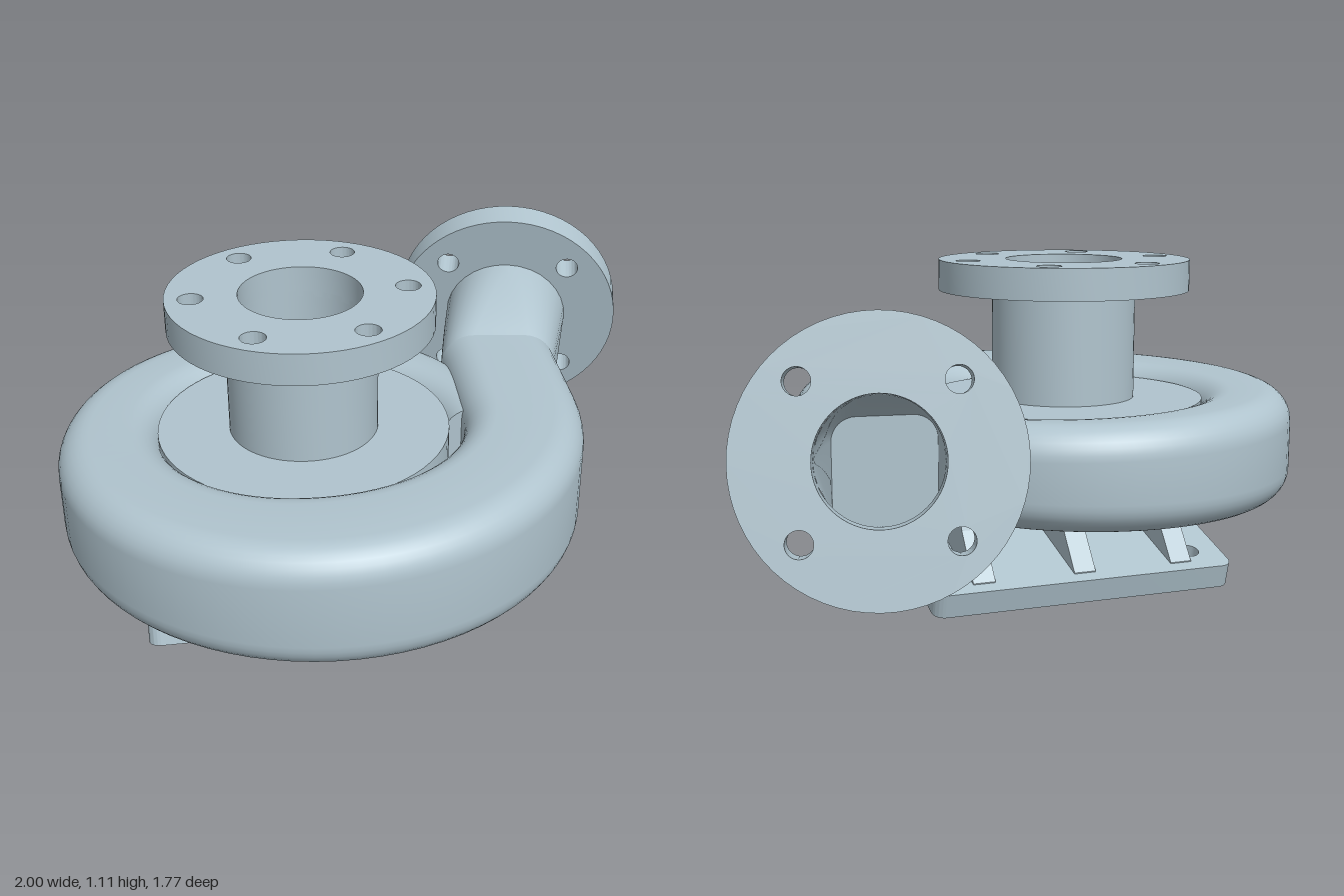
import * as THREE from 'three';
import { toCreasedNormals } from 'three/addons/utils/BufferGeometryUtils.js';

const V = (x, y, z) => new THREE.Vector3(x, y, z);
const CX = -0.23, CY = 0.515, CZ = 0.05; // volute centre

export function createModel() {
  const model = new THREE.Group();
  const metal = new THREE.MeshStandardMaterial({ color: 0xb0c4ce });
  metal.name = 'blue grey metal';

  const add = (name, geometry) => {
    const mesh = new THREE.Mesh(geometry, metal);
    mesh.name = name;
    model.add(mesh);
    return mesh;
  };

  const hole = (x, y, r) => new THREE.Path().absarc(x, y, r, 0, Math.PI * 2, true);

  // Ring with bolt holes, centred on its own thickness, axis along z
  function flangeGeometry(radius, bore, thickness, count, boltCircle, boltRadius, turn) {
    const shape = new THREE.Shape().absarc(0, 0, radius, 0, Math.PI * 2, false);
    shape.holes.push(hole(0, 0, bore));
    for (let i = 0; i < count; i++) {
      const a = turn + (i / count) * Math.PI * 2;
      shape.holes.push(hole(boltCircle * Math.cos(a), boltCircle * Math.sin(a), boltRadius));
    }
    const g = new THREE.ExtrudeGeometry(shape, { depth: thickness, bevelEnabled: false, curveSegments: 32 });
    g.translate(0, 0, -thickness / 2);
    return toCreasedNormals(g, 0.6);
  }

  // Rounded rectangle ring: c centre, u and v axes, half sizes and corner radius
  const STEPS = 8;
  function ring({ c, u, v, hw, hh, cr }) {
    const points = [];
    for (let q = 0; q < 4; q++) {
      const sx = q === 0 || q === 3 ? 1 : -1, sy = q < 2 ? 1 : -1;
      for (let k = 0; k <= STEPS; k++) {
        const a = (q + k / STEPS) * Math.PI / 2;
        points.push(c.clone()
          .addScaledVector(u, sx * (hw - cr) + cr * Math.cos(a))
          .addScaledVector(v, sy * (hh - cr) + cr * Math.sin(a)));
      }
    }
    return points;
  }

  // Skin over consecutive sections, optionally capped, or turned inside out
  function loft(sections, { capStart = false, capEnd = false, inward = false } = {}) {
    const pos = [], index = [], n = 4 * (STEPS + 1);
    const tri = (a, b, c) => (inward ? index.push(a, c, b) : index.push(a, b, c));
    sections.forEach(s => ring(s).forEach(p => pos.push(p.x, p.y, p.z)));
    for (let i = 0; i < sections.length - 1; i++) {
      for (let j = 0; j < n; j++) {
        const a = i * n + j, b = i * n + (j + 1) % n;
        tri(a, b, a + n);
        tri(b, b + n, a + n);
      }
    }
    const last = (sections.length - 1) * n;
    for (let j = 1; j < n - 1; j++) {
      if (capStart) tri(0, j + 1, j);
      if (capEnd) tri(last, last + j, last + j + 1);
    }
    const g = new THREE.BufferGeometry();
    g.setAttribute('position', new THREE.Float32BufferAttribute(pos, 3));
    g.setIndex(index);
    return toCreasedNormals(g, 0.6);
  }

  // Spiral casing, widening once around the centre
  const up = V(0, 1, 0);
  const spiral = [];
  const TURNS = 80;
  for (let i = 0; i <= TURNS; i++) {
    const t = i / TURNS, a = t * Math.PI * 2;
    const outer = 0.645 + 0.247 * t;
    const inner = 0.45 + 0.06 * THREE.MathUtils.smoothstep(t, 0.72, 1);
    const mid = (outer + inner) / 2, hw = (outer - inner) / 2;
    spiral.push({
      c: V(CX + mid * Math.cos(a), CY, CZ - mid * Math.sin(a)),
      u: V(-Math.cos(a), 0, Math.sin(a)), v: up,
      hw, hh: 0.15 + 0.065 * t, cr: Math.min(0.1, hw * 0.95),
    });
  }
  // Straight run leaving the spiral
  const tilt = 0.14;
  const throat = {
    c: V(0.483, CY + 0.003, -0.32), u: V(-Math.cos(tilt), 0, -Math.sin(tilt)), v: up,
    hw: 0.195, hh: 0.218, cr: 0.11,
  };
  const end = spiral[TURNS];
  for (let i = 1; i <= 4; i++) {
    const t = i / 4, mix = (k) => THREE.MathUtils.lerp(end[k], throat[k], t);
    spiral.push({
      c: end.c.clone().lerp(throat.c, t), u: end.u.clone().lerp(throat.u, t).normalize(), v: up,
      hw: mix('hw'), hh: mix('hh'), cr: mix('cr'),
    });
  }
  add('voluteCasing', loft(spiral, { capStart: true }));

  // Discharge duct, changing from the casing section to a round pipe
  const axis = V(0.25, 0.185, -0.95).normalize();
  const flangeCentre = V(0.605, 0.655, -0.72);
  const FT = 0.105;
  const side = V(axis.z, 0, -axis.x).normalize();
  const rise = axis.clone().cross(side);
  const mouth = flangeCentre.clone().addScaledVector(axis, -FT / 2);
  const path = new THREE.QuadraticBezierCurve3(throat.c, V(0.535, 0.60, -0.49), mouth);
  const ductSections = (wall) => Array.from({ length: 13 }, (_, i) => {
    const t = i / 12, mix = (a, b) => THREE.MathUtils.lerp(a, b, t);
    const u = throat.u.clone().lerp(side, t).normalize();
    const v = up.clone().lerp(rise, t).normalize();
    return {
      c: path.getPoint(t), u, v,
      hw: mix(throat.hw, 0.215) - wall, hh: mix(throat.hh, 0.215) - wall,
      cr: mix(throat.cr, 0.215) - wall,
    };
  });
  add('dischargeDuct', loft(ductSections(0)));
  add('dischargeBore', loft(ductSections(0.037), { capStart: true, inward: true }));

  const outlet = add('dischargeFlange', flangeGeometry(0.395, 0.178, FT, 4, 0.3, 0.038, Math.PI / 4));
  outlet.position.copy(flangeCentre);
  outlet.quaternion.setFromRotationMatrix(new THREE.Matrix4().makeBasis(side, rise, axis));

  // Casing covers and hollow inlet neck
  const profile = [
    [0, 0.37], [0.46, 0.37], [0.46, 0.66], [0.235, 0.66],
    [0.235, 1.03], [0.19, 1.03], [0.19, 0.42], [0, 0.42],
  ].map(([r, y]) => new THREE.Vector2(r, y));
  add('coverAndInletNeck', toCreasedNormals(new THREE.LatheGeometry(profile, 64), 0.6))
    .position.set(CX, 0, CZ);

  const inlet = add('inletFlange', flangeGeometry(0.41, 0.19, 0.1, 6, 0.33, 0.039, 0));
  inlet.rotation.x = -Math.PI / 2;
  inlet.position.set(CX, 1.063, CZ);

  // Tilted mounting plate
  const W = 0.525, L = 0.35, C = 0.04, PT = 0.083;
  const plate = new THREE.Shape();
  plate.absarc(W - C, L - C, C, 0, Math.PI / 2);
  plate.absarc(-W + C, L - C, C, Math.PI / 2, Math.PI);
  plate.absarc(-W + C, -L + C, C, Math.PI, Math.PI * 1.5);
  plate.absarc(W - C, -L + C, C, Math.PI * 1.5, Math.PI * 2);
  for (const x of [-0.41, 0.41]) for (const y of [-0.235, 0.235]) plate.holes.push(hole(x, y, 0.037));
  const plateGeometry = new THREE.ExtrudeGeometry(plate, { depth: PT, bevelEnabled: false, curveSegments: 16 });
  plateGeometry.translate(0, 0, -PT / 2);
  const base = add('mountingPlate', toCreasedNormals(plateGeometry, 0.6));
  base.rotation.x = -THREE.MathUtils.degToRad(105);
  base.position.set(-0.235, 0.135, 0.157);

  // Three ribs between plate and casing, outlined as [z, y]
  const outline = [
    [0.43, 0.22], [0.43, 0.25], [0.30, 0.305], [0.25, 0.39], [0.0, 0.39],
    [-0.01, 0.30], [-0.03, 0.245], [-0.147, 0.1], [-0.147, 0.07],
  ].map(([z, y]) => new THREE.Vector2(-z, y));
  for (const x of [-0.585, -0.235, 0.115]) {
    const rib = new THREE.ExtrudeGeometry(new THREE.Shape(outline), { depth: 0.075, bevelEnabled: false });
    rib.translate(0, 0, -0.0375);
    const mesh = add('supportRib', rib);
    mesh.rotation.y = Math.PI / 2;
    mesh.position.x = x;
  }
  return model;
}
